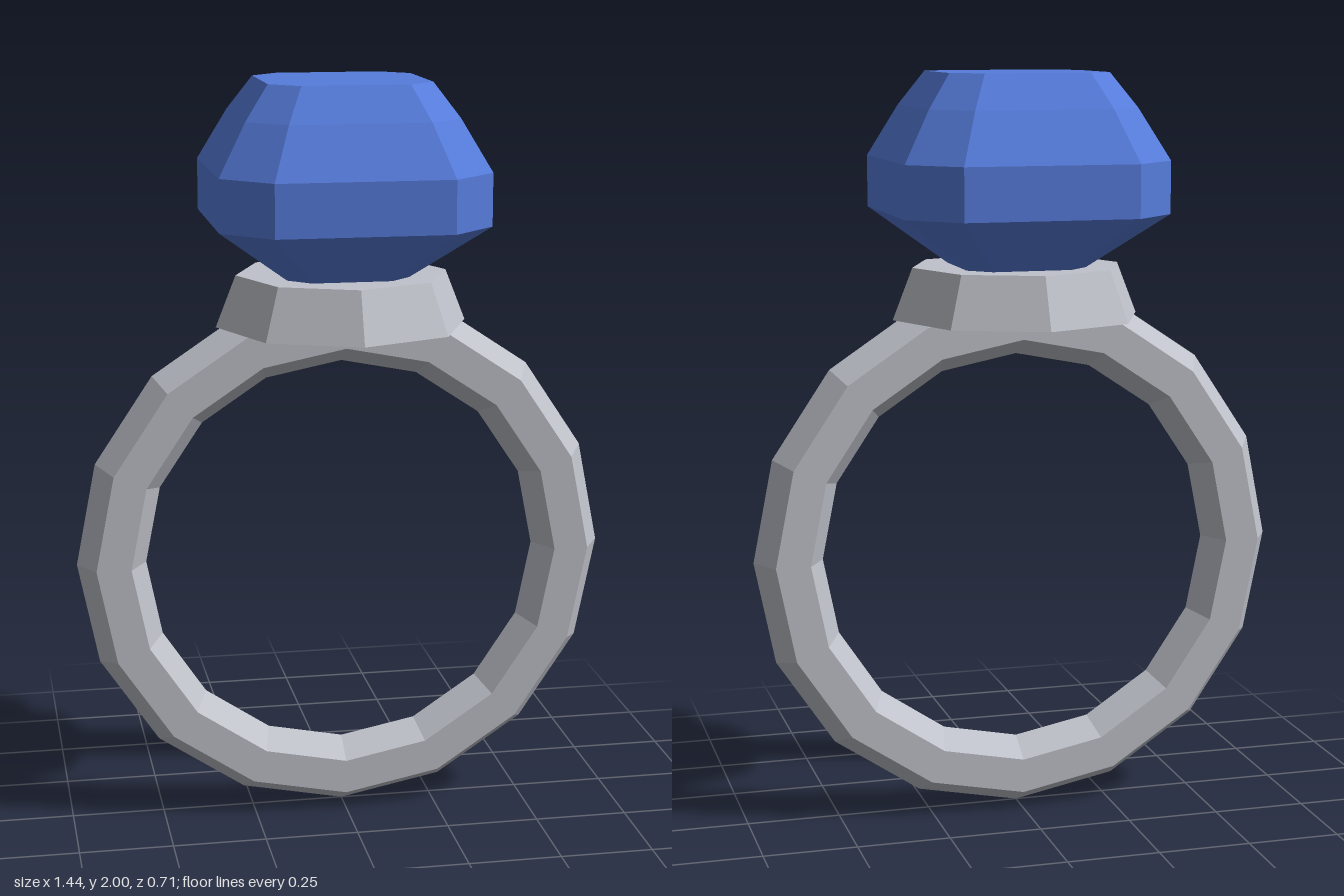
import * as THREE from 'three';

// Stack of chamfered-square rings [y, half width, chamfer start], closed at both ends
function facetedStone(rings) {
  const corners = ([y, h, c]) =>
    [[c, h], [h, c], [h, -c], [c, -h], [-c, -h], [-h, -c], [-h, c], [-c, h]]
      .map(([x, z]) => [x, y, z]);
  const loops = rings.map(corners);
  const pos = [];
  const tri = (a, b, c) => pos.push(...a, ...b, ...c);
  for (let r = 0; r < loops.length - 1; r++) {
    for (let i = 0; i < 8; i++) {
      const j = (i + 1) % 8;
      const a = loops[r][i], b = loops[r][j], c = loops[r + 1][j], d = loops[r + 1][i];
      tri(a, b, c);
      tri(a, c, d);
    }
  }
  const bottom = loops[0], top = loops[loops.length - 1];
  for (let i = 1; i < 7; i++) {
    tri(top[0], top[i], top[i + 1]);
    tri(bottom[0], bottom[i + 1], bottom[i]);
  }
  const geometry = new THREE.BufferGeometry();
  geometry.setAttribute('position', new THREE.Float32BufferAttribute(pos, 3));
  geometry.computeVertexNormals();
  return geometry;
}

export function createModel() {
  const group = new THREE.Group();
  group.name = 'gemRing';
  const silver = new THREE.MeshStandardMaterial({ color: 0xbfc2ca });
  const blue = new THREE.MeshStandardMaterial({ color: 0x567cdb });
  silver.name = 'silver';
  blue.name = 'sapphireBlue';
  silver.flatShading = blue.flatShading = true;

  const add = (name, geometry, material, y) => {
    const mesh = new THREE.Mesh(geometry, material);
    mesh.name = name;
    mesh.position.y = y;
    group.add(mesh);
  };

  // Band with a hexagonal section
  add('band', new THREE.TorusGeometry(0.627, 0.093, 6, 16), silver, 0.72);

  // Octagonal collar that holds the stone
  add('setting', new THREE.CylinderGeometry(0.283, 0.337, 0.137, 8), silver, 1.423);

  // Cut stone: pavilion, girdle, two crown steps and the table
  add('gemstone', facetedStone([
    [1.41, 0.055, 0.036],
    [1.637, 0.353, 0.23],
    [1.775, 0.353, 0.23],
    [1.91, 0.278, 0.182],
    [2.0, 0.214, 0.14],
  ]), blue, 0);

  return group;
}
